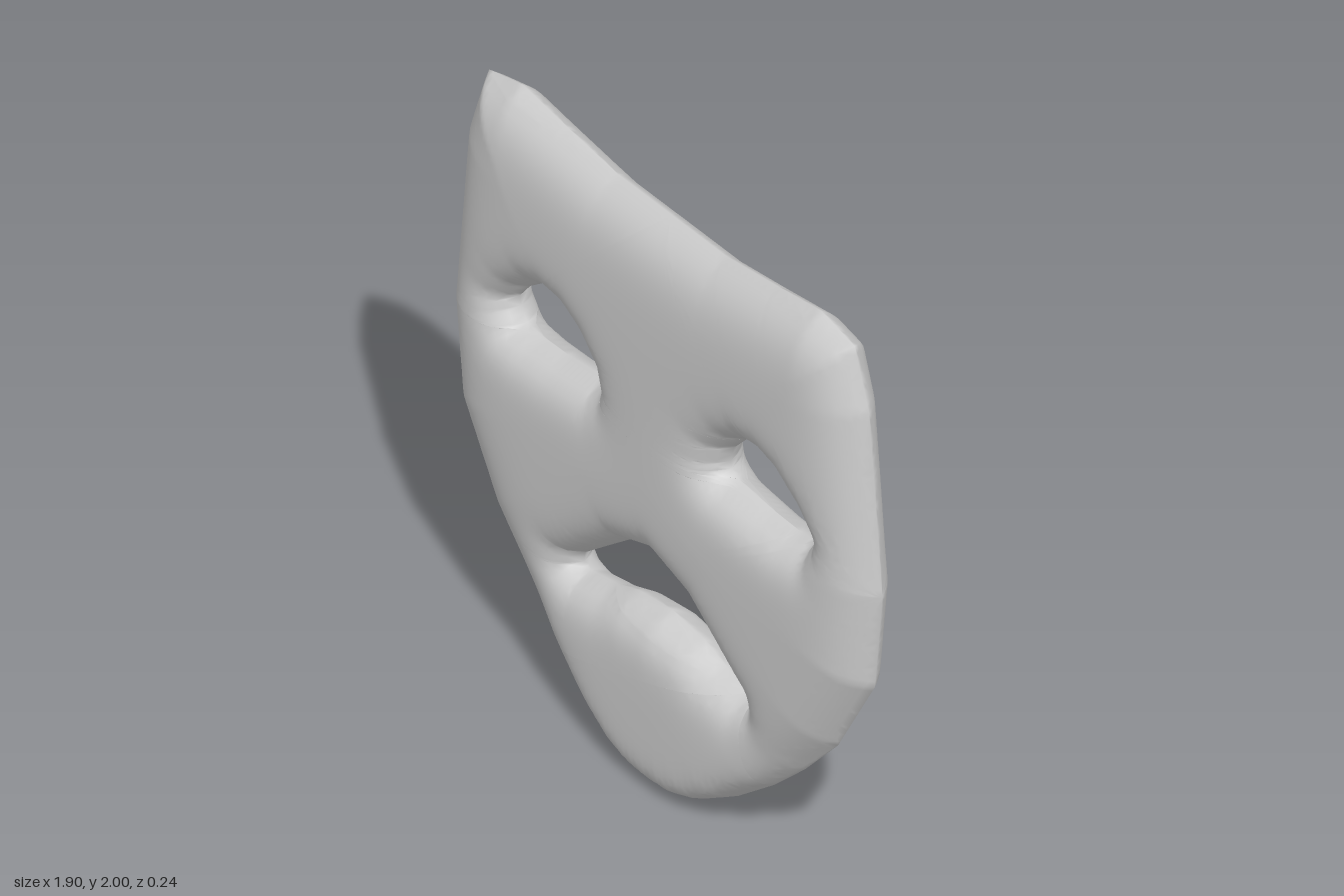
import * as THREE from 'three';
import { mergeVertices } from 'three/addons/utils/BufferGeometryUtils.js';

const points = (list) => list.map(([x, y]) => new THREE.Vector2(x, y));
const mirrored = (list) => list.map((p) => new THREE.Vector2(-p.x, p.y)).reverse();
// Right half of a symmetric loop, completed across x = 0
const symmetric = (half) => [...half, ...mirrored(half).filter((p) => Math.abs(p.x) > 1e-6)];

// Shortest distance from (x, y) to a closed loop
function distanceTo(loop, x, y) {
  let best = Infinity;
  loop.forEach((a, i) => {
    const b = loop[(i + 1) % loop.length];
    const dx = b.x - a.x, dy = b.y - a.y;
    const t = THREE.MathUtils.clamp(((x - a.x) * dx + (y - a.y) * dy) / (dx * dx + dy * dy), 0, 1);
    best = Math.min(best, Math.hypot(x - a.x - t * dx, y - a.y - t * dy));
  });
  return best < 1e-5 ? 0 : best;
}

// Bisect the longest edge of each triangle until all edges are short
function tessellate(triangles, maxEdge) {
  const done = [], stack = [...triangles];
  while (stack.length) {
    const t = stack.pop();
    const len = [0, 1, 2].map((i) => t[i].distanceTo(t[(i + 1) % 3]));
    const i = len.indexOf(Math.max(...len));
    if (len[i] <= maxEdge) { done.push(t); continue; }
    const a = t[i], b = t[(i + 1) % 3], c = t[(i + 2) % 3];
    const m = a.clone().add(b).multiplyScalar(0.5);
    stack.push([a, m, c], [m, b, c]);
  }
  return done;
}

export function createModel() {
  // Face outline, from chin to brow
  const outline = symmetric(points([
    [0, 0], [0.1, 0.008], [0.19, 0.04], [0.3, 0.11], [0.46, 0.24], [0.6, 0.375], [0.75, 0.545],
    [0.915, 0.84], [0.95, 1.17], [0.89, 1.77], [0.825, 1.965], [0.675, 2], [0.47, 1.97],
    [0.24, 1.94], [0, 1.94],
  ]));
  // Eye openings
  const eye = points([
    [0.265, 1.245], [0.28, 1.3], [0.34, 1.365], [0.41, 1.405], [0.485, 1.412], [0.55, 1.393],
    [0.64, 1.325], [0.687, 1.265], [0.68, 1.235], [0.652, 1.193], [0.58, 1.185], [0.465, 1.188],
    [0.3, 1.205], [0.27, 1.222],
  ]);
  // Drooping mouth opening
  const mouth = symmetric(points([
    [0, 0.788], [0.16, 0.735], [0.28, 0.64], [0.392, 0.55], [0.397, 0.515], [0.365, 0.505],
    [0.25, 0.525], [0.15, 0.56], [0, 0.58],
  ]));
  const holes = [eye, mirrored(eye), mouth];

  const shape = new THREE.Shape(outline);
  shape.holes = holes.map((h) => new THREE.Path(h));
  const flat = new THREE.ShapeGeometry(shape);
  const pos = flat.attributes.position, index = flat.index.array;
  const corners = Array.from({ length: pos.count }, (_, i) => new THREE.Vector2(pos.getX(i), pos.getY(i)));
  const triangles = [];
  for (let i = 0; i < index.length; i += 3) {
    triangles.push([corners[index[i]], corners[index[i + 1]], corners[index[i + 2]]]);
  }

  // Half thickness: zero on every rim, swelling softly inward, fuller at the chin
  const swell = (x, y) => {
    const chin = 1 + 1.5 * (1 - THREE.MathUtils.smoothstep(y, 0.05, 0.45));
    const rim = distanceTo(outline, x, y) * chin;
    const hole = Math.min(...holes.map((h) => distanceTo(h, x, y)));
    return 0.12 * (1 - Math.exp(-rim / 0.075)) * (1 - Math.exp(-hole / 0.045));
  };

  // Matching front and back, joined along the rims
  const vertices = [];
  for (const [a, b, c] of tessellate(triangles, 0.032)) {
    const [za, zb, zc] = [a, b, c].map((p) => swell(p.x, p.y));
    vertices.push(a.x, a.y, za, b.x, b.y, zb, c.x, c.y, zc);
    vertices.push(a.x, a.y, -za, c.x, c.y, -zc, b.x, b.y, -zb);
  }
  let geometry = new THREE.BufferGeometry();
  geometry.setAttribute('position', new THREE.Float32BufferAttribute(vertices, 3));
  geometry = mergeVertices(geometry, 1e-5);
  geometry.computeVertexNormals();

  const mask = new THREE.Mesh(geometry, new THREE.MeshStandardMaterial({ color: 0xcccccc }));
  mask.name = 'mask';
  const group = new THREE.Group();
  group.name = 'tragedyMask';
  group.add(mask);
  return group;
}
